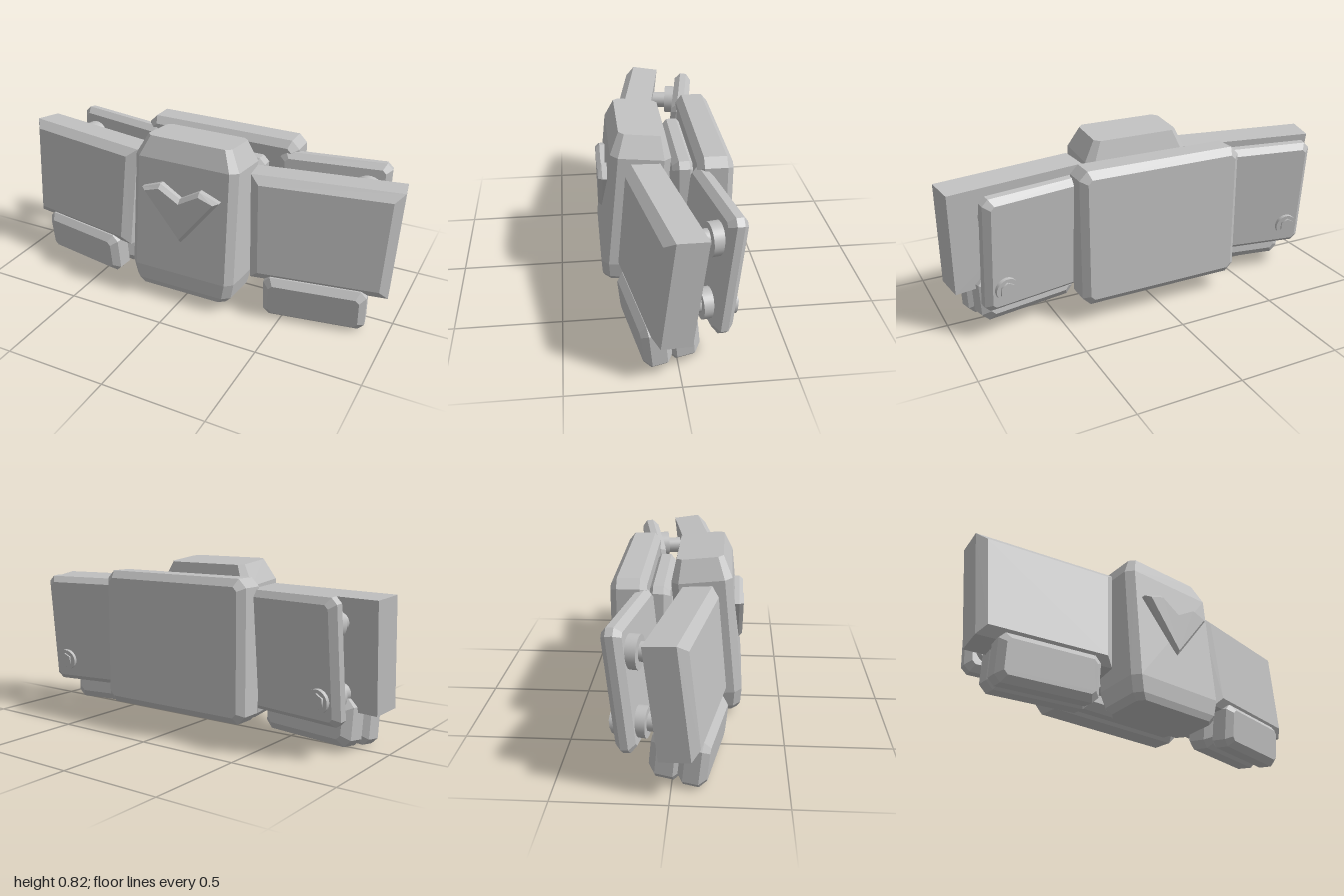
import * as THREE from 'three';

const YAW = 0.17;
const grey = new THREE.MeshStandardMaterial({ color: 0xc0c0c0 });
grey.name = 'armour grey';

// Flat-faced skin over cross-sections (rings of [x, y], each at its own z), capped at both ends
function loft(sections) {
  const rings = sections.map(([z, ring]) => ring.map(([x, y]) => [x, y, z]));
  const n = rings[0].length, pos = [];
  const tri = (...corners) => corners.forEach((c) => pos.push(...c));
  for (let k = 0; k < rings.length - 1; k++) {
    const a = rings[k], b = rings[k + 1];
    for (let i = 0; i < n; i++) {
      const j = (i + 1) % n;
      tri(a[i], a[j], b[j]);
      tri(a[i], b[j], b[i]);
    }
  }
  const first = rings[0], last = rings[rings.length - 1];
  for (let i = 1; i < n - 1; i++) {
    tri(first[0], first[i + 1], first[i]);
    tri(last[0], last[i], last[i + 1]);
  }
  const g = new THREE.BufferGeometry();
  g.setAttribute('position', new THREE.Float32BufferAttribute(pos, 3));
  g.computeVertexNormals();
  return g;
}

// Rectangle of half sizes w, h with cut corners
const octagon = (w, h, c) => [
  [w, -h + c], [w, h - c], [w - c, h], [-w + c, h],
  [-w, h - c], [-w, -h + c], [-w + c, -h], [w - c, -h],
];

// Box with chamfered edges: c is the chamfer across the face, e along the depth
function chamferBox(w, h, d, c, e = c) {
  const small = octagon(w / 2 - c, h / 2 - c, c * 0.6);
  const full = octagon(w / 2, h / 2, c);
  return loft([[-d / 2, small], [-d / 2 + e, full], [d / 2 - e, full], [d / 2, small]]);
}

// Disc facing z
const disc = (r, depth, sides) => new THREE.CylinderGeometry(r, r, depth, sides).rotateX(Math.PI / 2);

function add(parent, name, geometry, x, y, z, pitch = 0, yaw = 0) {
  const mesh = new THREE.Mesh(geometry, grey);
  mesh.name = name;
  mesh.position.set(x, y, z);
  mesh.rotation.set(pitch, yaw, 0, 'YXZ');
  parent.add(mesh);
  return mesh;
}

export function createModel() {
  const model = new THREE.Group();
  model.name = 'chestArmour';

  // Central block, leaning back
  const chest = loft([
    [-0.39, octagon(0.235, 0.115, 0.03)],
    [-0.36, octagon(0.262, 0.13, 0.035)],
    [-0.28, octagon(0.278, 0.143, 0.035)],
    [0.29, octagon(0.272, 0.143, 0.035)],
    [0.39, octagon(0.22, 0.11, 0.025)],
  ]).rotateX(-Math.PI / 2);
  add(model, 'centreBlock', chest, 0, 0.43, 0.13, -0.1);

  // Raised chevron on the front
  const outline = [[-0.18, 0.585], [-0.105, 0.61], [0, 0.55], [0.105, 0.61], [0.18, 0.585], [0, 0.36]];
  const chevron = new THREE.ExtrudeGeometry(new THREE.Shape(outline.map(([x, y]) => new THREE.Vector2(x, y))), {
    depth: 0.06, bevelEnabled: true, bevelThickness: 0.02, bevelSize: 0.018, bevelSegments: 1,
  });
  add(model, 'chevronRidge', chevron, 0, 0, 0.22);

  // Joint, spine and back plate
  add(model, 'centreJoint', disc(0.17, 0.12, 32), 0, 0.48, -0.03);
  add(model, 'spineBlock', chamferBox(0.56, 0.5, 0.11, 0.03), 0, 0.44, -0.1);
  add(model, 'lowerSpineBlock', chamferBox(0.72, 0.21, 0.15, 0.035), 0, 0.22, -0.15);
  add(model, 'backPlate', loft([
    [-0.305, octagon(0.385, 0.3, 0.02)],
    [-0.275, octagon(0.417, 0.335, 0.04)],
    [-0.17, octagon(0.417, 0.335, 0.04)],
    [-0.14, octagon(0.385, 0.3, 0.02)],
  ]), 0, 0.435, 0);

  // Tapered wing plate with a bevelled front
  const trapezoid = (top, bottom, h) => [[bottom, -h], [top, h], [-top, h], [-bottom, -h]];
  const wing = loft([
    [0, trapezoid(0.35, 0.327, 0.26)],
    [0.14, trapezoid(0.35, 0.327, 0.26)],
    [0.175, trapezoid(0.305, 0.287, 0.22)],
  ]);

  for (const s of [1, -1]) {
    const side = new THREE.Group();
    side.name = s > 0 ? 'leftSide' : 'rightSide';
    const put = (name, geo, x, y, z, pitch) => add(side, name, geo, s * x, y, z, pitch, s * YAW);

    put('wingPlate', wing, 0.63, 0.44, -0.018, -0.105);

    // Two stepped blocks under the wing
    put('lowerFrontBlock', chamferBox(0.49, 0.22, 0.13, 0.03), 0.645, 0.118, 0.13, 0.1);
    put('lowerRearBlock', chamferBox(0.5, 0.22, 0.15, 0.035), 0.61, 0.13, 0.015, 0.1);

    // Rear flap with its spacers and bolt
    put('rearFlap', chamferBox(0.54, 0.57, 0.09, 0.028), 0.6, 0.435, -0.175, -0.1);
    put('upperSpacer', disc(0.075, 0.05, 32), 0.77, 0.588, -0.155, 0);
    put('upperPin', disc(0.043, 0.1, 24), 0.77, 0.588, -0.1, 0);
    put('lowerSpacer', disc(0.07, 0.06, 32), 0.77, 0.265, -0.13, 0);
    put('lowerPin', disc(0.043, 0.12, 24), 0.77, 0.265, -0.08, 0);
    put('boltWasher', disc(0.055, 0.03, 24), 0.77, 0.265, -0.236, -0.1);
    put('boltHead', disc(0.038, 0.02, 6), 0.77, 0.265, -0.25, -0.1);
    model.add(side);
  }
  return model;
}
